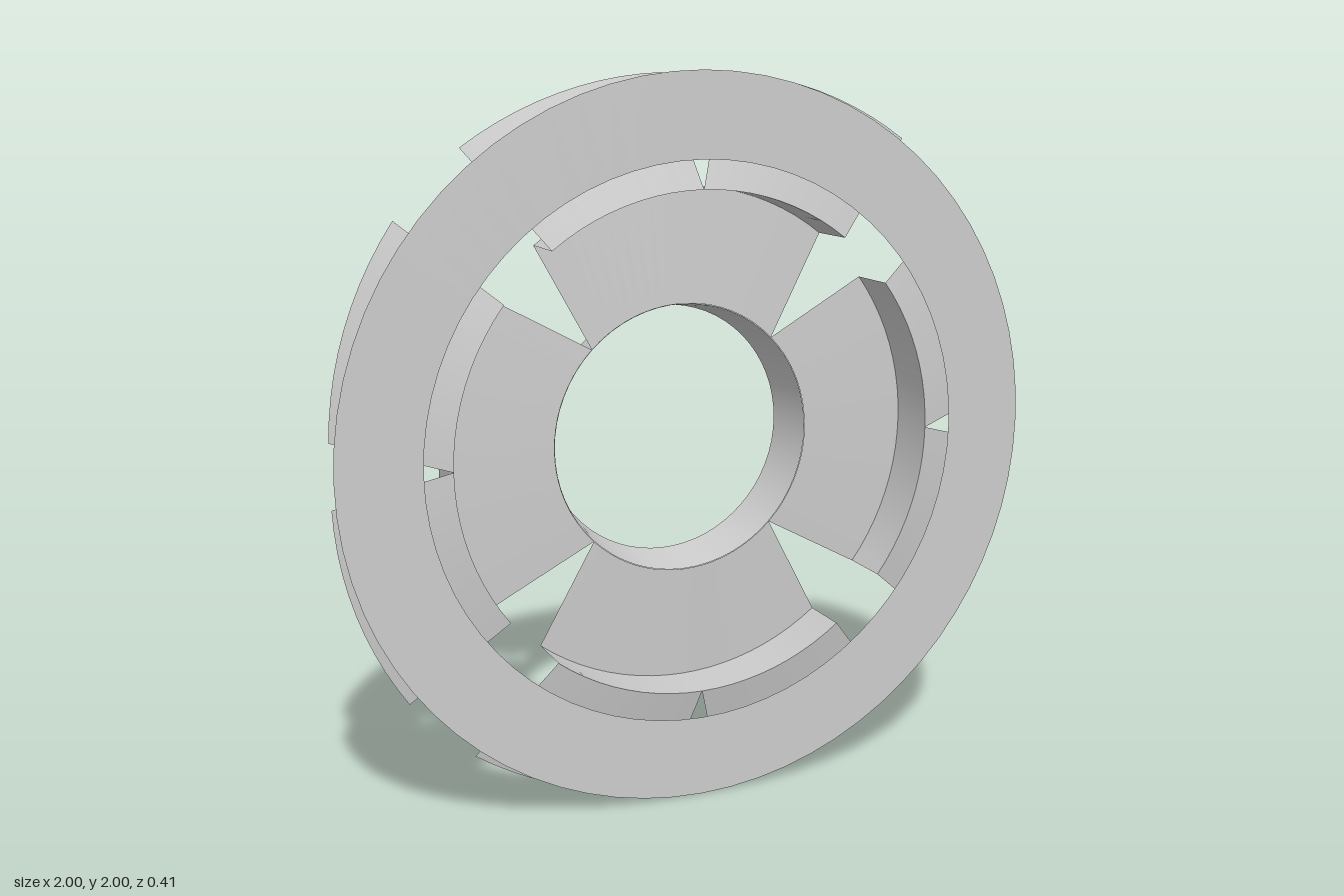
import * as THREE from 'three';

const material = new THREE.MeshStandardMaterial({ color: 0xcccccc, side: THREE.DoubleSide });
const rad = THREE.MathUtils.degToRad;

// Point at radius r, angle a in degrees (0 = up, positive towards +x), depth z
const polar = (r, a, z) => new THREE.Vector3(r * Math.sin(rad(a)), r * Math.cos(rad(a)), z);

// Thin sheet spanned between two curves, each a function of t in 0..1
function sheet(name, inner, outer, segments) {
  const geometry = new THREE.PlaneGeometry(1, 1, segments, 1);
  const pos = geometry.attributes.position;
  for (let i = 0; i < pos.count; i++) {
    const t = pos.getX(i) + 0.5;
    const p = pos.getY(i) > 0 ? outer(t) : inner(t);
    pos.setXYZ(i, p.x, p.y, p.z);
  }
  geometry.computeVertexNormals();
  const mesh = new THREE.Mesh(geometry, material);
  mesh.name = name;
  return mesh;
}

// Arc with radius, angle and depth each running between two ends
const arc = (r0, r1, a0, a1, z) => (t) =>
  polar(THREE.MathUtils.lerp(r0, r1, t), THREE.MathUtils.lerp(a0, a1, t), z);

export function createModel() {
  const model = new THREE.Group();
  model.name = 'flangedRing';
  const body = new THREE.Group();
  body.name = 'body';
  body.position.y = 1;
  model.add(body);

  // Flat front ring
  const ring = new THREE.Mesh(new THREE.RingGeometry(0.77, 0.998, 72), material);
  ring.name = 'frontRing';
  ring.position.z = 0.2;
  body.add(ring);

  // Slightly tapered hub sleeve
  const hub = new THREE.Mesh(
    new THREE.CylinderGeometry(0.375, 0.353, 0.15, 64, 1, true), material);
  hub.name = 'hubSleeve';
  hub.rotation.x = Math.PI / 2;
  hub.position.z = -0.01;
  body.add(hub);

  // Four quarters: spoke, axial wall and a mirrored pair of swept-back flaps
  const half = 37.4;
  for (let q = 0; q < 4; q++) {
    const quarter = new THREE.Group();
    quarter.name = 'quarter';
    quarter.rotation.z = q * Math.PI / 2;
    const rim = arc(0.692, 0.692, -half, half, 0.05);
    quarter.add(
      sheet('spoke', arc(0.376, 0.376, -45, 45, 0.065), rim, 20),
      sheet('axialWall', rim, arc(0.692, 0.692, -half, half, 0.2), 20));
    for (const s of [-1, 1]) {
      quarter.add(sheet('flap',
        arc(0.692, 0.692, 0, s * half, 0.2),
        arc(0.995, 1.028, s * 5, s * 38.1, 0.125), 10));
    }
    body.add(quarter);
  }

  // Small locating tab behind the hub
  body.add(sheet('locatingTab',
    arc(0.42, 0.42, -56, -46.5, -0.082),
    arc(0.372, 0.372, -56.5, -45.5, -0.205), 1));

  return model;
}
